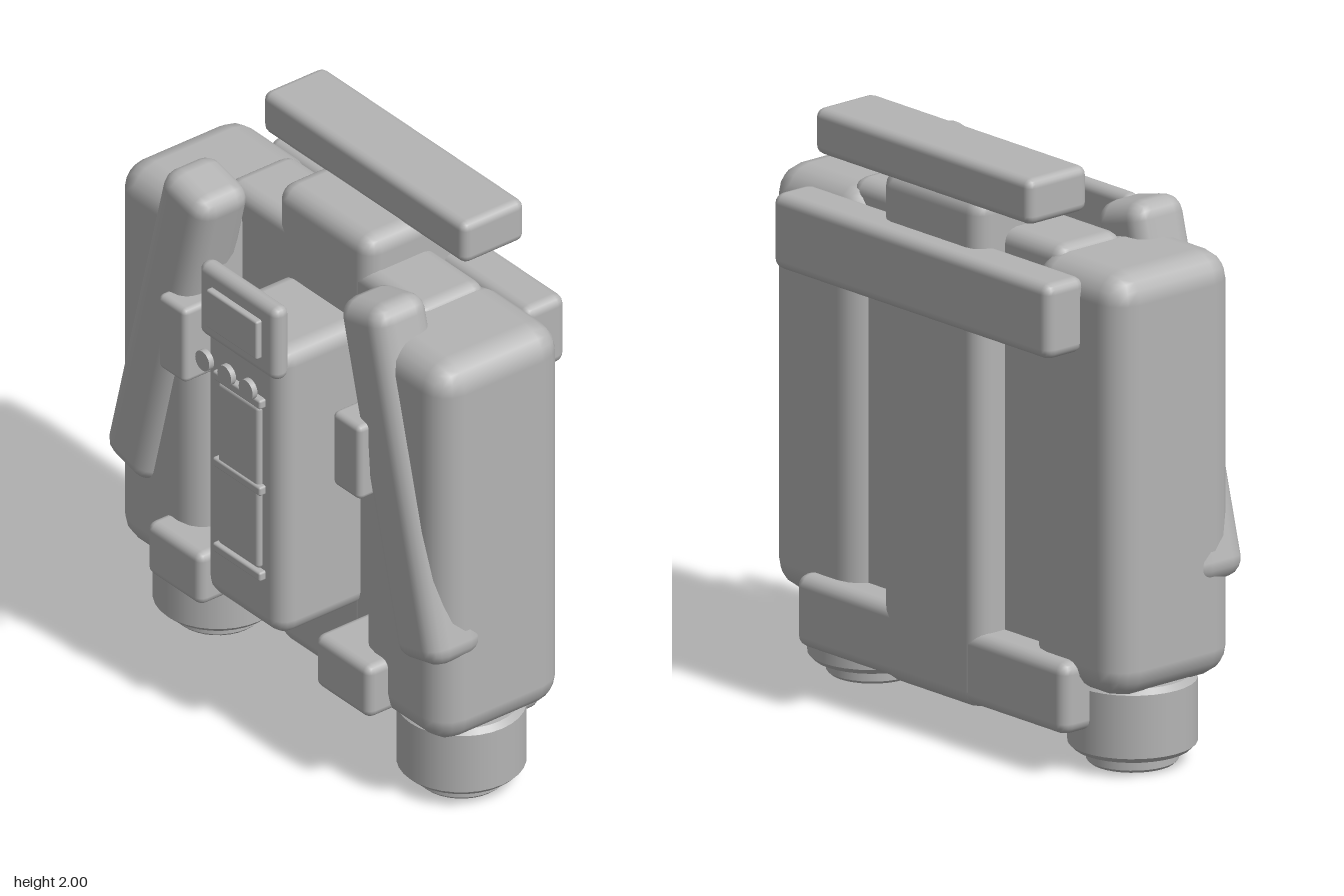
import * as THREE from 'three';
import { RoundedBoxGeometry } from 'three/addons/geometries/RoundedBoxGeometry.js';

export function createModel() {
  const model = new THREE.Group();
  model.name = 'backpack';
  const shell = new THREE.MeshStandardMaterial({ color: 0xb4b4b4 });
  shell.name = 'light grey shell';

  function add(name, geometry, x, y, z) {
    const mesh = new THREE.Mesh(geometry, shell);
    mesh.name = name;
    mesh.position.set(x, y, z);
    model.add(mesh);
    return mesh;
  }

  // Rounded block given by its min and max on each axis
  function block(name, [x0, x1], [y0, y1], [z0, z1], radius, segments = 2) {
    const g = new RoundedBoxGeometry(x1 - x0, y1 - y0, z1 - z0, segments, radius);
    return add(name, g, (x0 + x1) / 2, (y0 + y1) / 2, (z0 + z1) / 2);
  }

  // Upright cylinder with bevelled rims
  function drum(name, radius, y0, y1, bevel, x, z) {
    const profile = [
      [0, y0], [radius - bevel, y0], [radius - bevel, y0],
      [radius, y0 + bevel], [radius, y0 + bevel],
      [radius, y1 - bevel], [radius, y1 - bevel],
      [radius - bevel, y1], [radius - bevel, y1], [0, y1],
    ].map(([r, y]) => new THREE.Vector2(r, y));
    return add(name, new THREE.LatheGeometry(profile, 32), x, 0, z);
  }

  // Frame: panel, spine, cross bars and top handle
  block('mainPanel', [-0.51, 0.51], [0.16, 1.74], [-0.24, 0.04], 0.05);
  block('spine', [-0.24, 0.24], [0.13, 1.86], [-0.355, 0.042], 0.06);
  block('upperCrossBar', [-0.665, 0.665], [1.435, 1.69], [-0.437, -0.27], 0.035);
  block('lowerCrossBar', [-0.65, 0.65], [0.145, 0.39], [-0.353, -0.2], 0.04);
  block('topHandle', [-0.52, 0.52], [1.845, 2], [-0.385, -0.13], 0.03);

  // Central console with display, buttons and ribbed cover
  block('console', [-0.2, 0.2], [0.455, 1.54], [-0.02, 0.367], 0.06);
  block('display', [-0.2, 0.2], [1.445, 1.72], [0.325, 0.39], 0.03);
  block('screen', [-0.13, 0.13], [1.51, 1.655], [0.37, 0.412], 0.008);
  block('consoleCover', [-0.105, 0.105], [0.69, 1.305], [0.35, 0.385], 0.014);
  for (const y of [0.67, 0.995, 1.325]) {
    block('coverRib', [-0.122, 0.122], [y - 0.017, y + 0.017], [0.358, 0.392], 0.008);
  }
  for (const x of [-0.113, 0, 0.11]) {
    const button = add('button', new THREE.CylinderGeometry(0.036, 0.036, 0.02, 24), x, 1.4, 0.43);
    button.rotation.x = Math.PI / 2;
  }

  // Mirrored side parts
  for (const s of [1, -1]) {
    const side = s > 0 ? 'left' : 'right';
    const span = (a, b) => (s > 0 ? [a, b] : [-b, -a]);
    block(side + 'Tank', span(0.405, 0.845), [0.285, 1.72], [-0.296, 0.224], 0.1);
    drum(side + 'Thruster', 0.21, 0.05, 0.3, 0.018, s * 0.625, -0.035);
    drum(side + 'Nozzle', 0.15, 0, 0.08, 0.01, s * 0.625, -0.035);

    // Slanted strap and its pads
    const strap = add(side + 'Strap', new RoundedBoxGeometry(0.235, 1.26, 0.22, 2, 0.065), s * 0.6, 1.206, 0.151);
    strap.rotation.z = s * 0.25;
    block(side + 'StrapClip', span(0.378, 0.518), [1.12, 1.4], [0.15, 0.3], 0.02);
    block(side + 'LowerClip', span(0.292, 0.572), [0.313, 0.51], [0.03, 0.305], 0.03);
  }
  return model;
}
